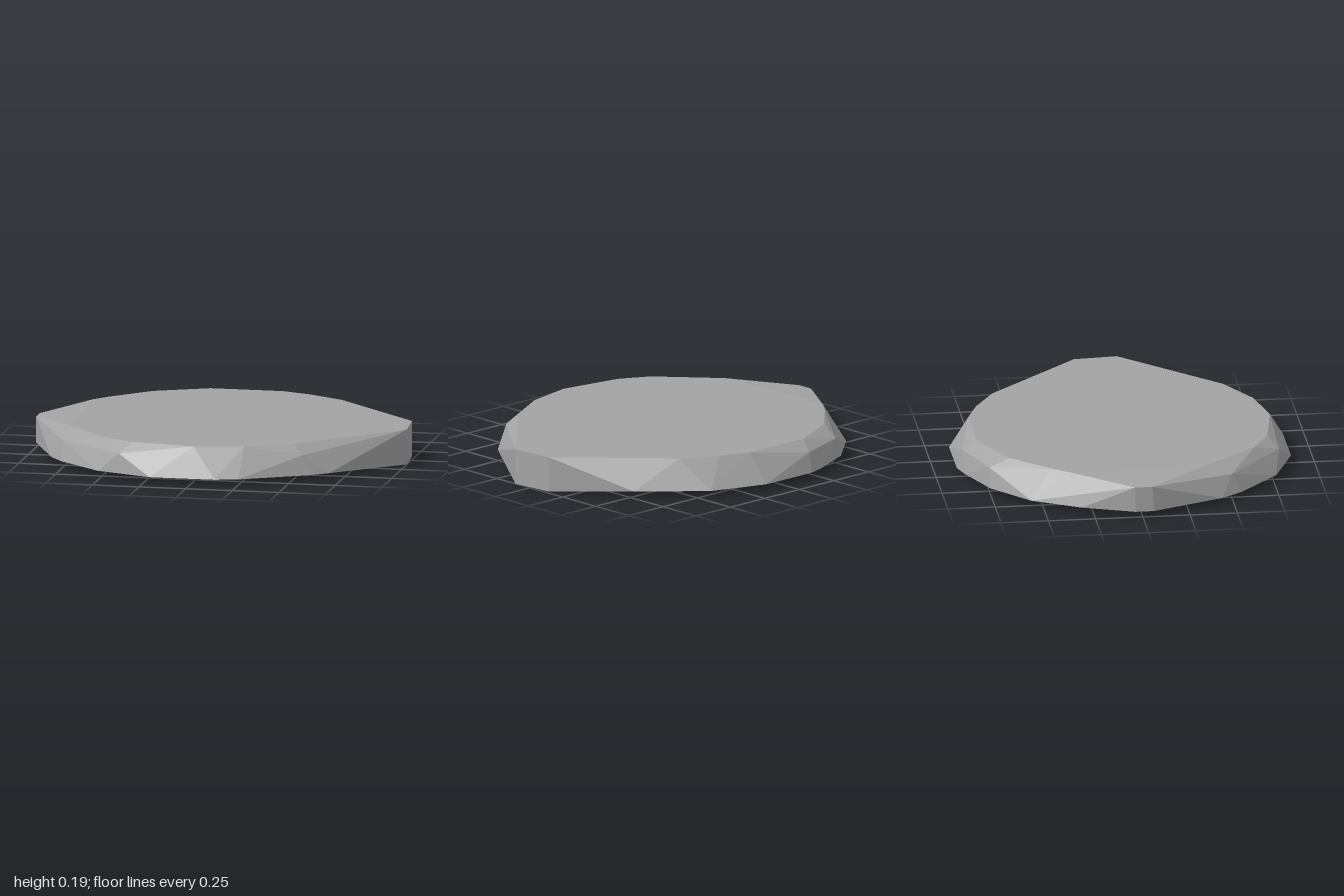
import * as THREE from 'three';
import { ConvexGeometry } from 'three/addons/geometries/ConvexGeometry.js';

// A flat, chipped stone slab: the convex hull of a few rings of corners.
export function createModel() {
  const group = new THREE.Group();
  group.name = 'stoneSlab';
  const stone = new THREE.MeshStandardMaterial({ color: 0xa3a3a3, flatShading: true });
  stone.name = 'stone grey';

  const ring = (y, corners) => corners.map(([x, z]) => new THREE.Vector3(x, y, z));

  // wide lower rim
  const lowerRim = ring(0.03, [
    [-1, -0.04], [-0.9, -0.31], [-0.76, -0.56], [-0.54, -0.75], [-0.3, -0.855],
    [-0.2, -0.885], [0.13, -0.885], [0.43, -0.78], [0.73, -0.51], [0.68, 0.58],
    [0.6, 0.65], [0.25, 0.845], [0.13, 0.88], [-0.22, 0.88], [-0.52, 0.765],
    [-0.76, 0.55], [-0.84, 0.44], [-1, 0.06],
  ]);
  // underside dips towards the blunt end
  const lowEnd = ring(0, [[0.98, -0.12], [1, 0.11]]);
  // flat top face
  const topRim = ring(0.187, [
    [-0.78, -0.36], [-0.71, -0.45], [-0.52, -0.645], [-0.24, -0.78], [0.15, -0.78],
    [0.31, -0.72], [0.5, -0.61], [0.98, -0.12], [1, 0.11], [0.5, 0.61],
    [0.26, 0.74], [0, 0.795], [-0.34, 0.74], [-0.5, 0.655], [-0.76, 0.36],
  ]);
  // worn left tip and chipped shoulders
  const tip = ring(0.165, [[-1, -0.04], [-1, 0.05]]);
  const chips = ring(0.133, [
    [-0.5, -0.75], [-0.21, -0.855], [-0.4, 0.795], [0.55, 0.65], [-0.76, 0.5],
  ]);

  const slab = new THREE.Mesh(
    new ConvexGeometry([...lowerRim, ...lowEnd, ...topRim, ...tip, ...chips]), stone);
  slab.name = 'slab';
  group.add(slab);
  return group;
}
